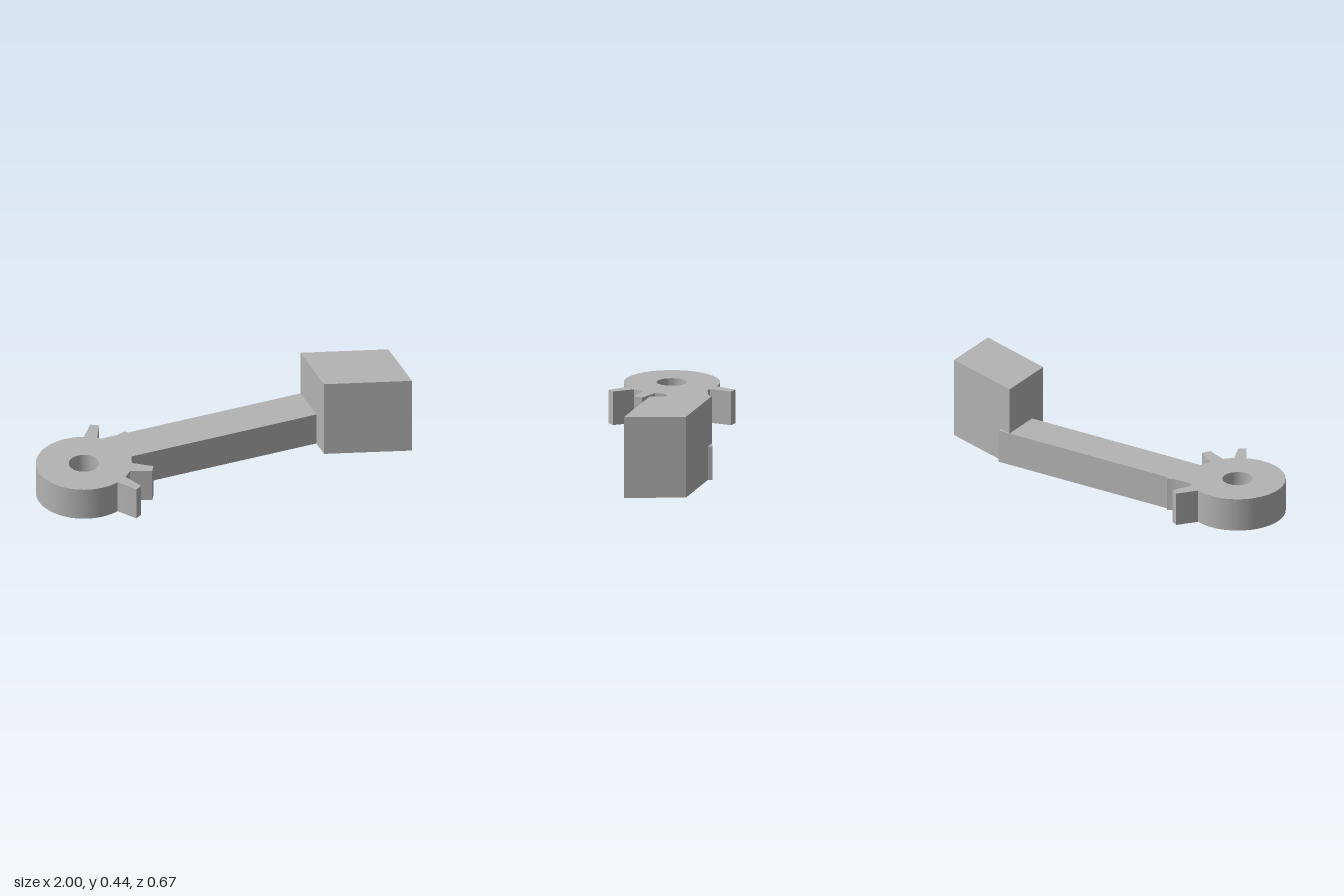
import * as THREE from 'three';
import { toCreasedNormals } from 'three/addons/utils/BufferGeometryUtils.js';

const HUB = { x: -0.747, z: -0.003, r: 0.253, bore: 0.08 };

// Extrude a plan outline (x, -z) upward from the ground
function extrudePlan(shape, height) {
  const geo = new THREE.ExtrudeGeometry(shape, { depth: height, bevelEnabled: false, curveSegments: 48 });
  geo.rotateX(-Math.PI / 2);
  return toCreasedNormals(geo, 0.4);
}

function part(name, shape, height, material) {
  const mesh = new THREE.Mesh(extrudePlan(shape, height), material);
  mesh.name = name;
  return mesh;
}

const plan = (points) => points.map(([x, z]) => new THREE.Vector2(x, -z));

export function createModel() {
  const grey = new THREE.MeshStandardMaterial({ color: 0xb3b3b3 });
  grey.name = 'plain grey';
  const group = new THREE.Group();
  group.name = 'gearLever';

  // Lever: toothed hub and straight arm in one outline, clockwise from the front teeth
  const outline = plan([
    [-0.652, 0.233], [-0.588, 0.333], [-0.551, 0.311], [-0.594, 0.2],
    [-0.551, 0.158], [-0.444, 0.203], [-0.419, 0.161], [-0.513, 0.091],
    [-0.492, 0.032], [0.63, 0.032], [0.63, -0.187],
    [-0.422, -0.187], [-0.433, -0.203], [-0.476, -0.187],
    [-0.572, -0.187], [-0.59, -0.2], [-0.535, -0.308], [-0.575, -0.333], [-0.65, -0.238],
  ]);
  const lever = new THREE.Shape(outline);
  const first = outline[0], last = outline[outline.length - 1];
  const angle = (p) => Math.atan2(p.y + HUB.z, p.x - HUB.x);
  lever.absarc(HUB.x, -HUB.z, HUB.r, angle(last), angle(first) + Math.PI * 2, false);

  // Round bore through the hub
  const bore = new THREE.Path();
  bore.absarc(HUB.x, -HUB.z, HUB.bore, 0, Math.PI * 2, true);
  lever.holes.push(bore);
  group.add(part('toothedLever', lever, 0.182, grey));

  // Slanted block at the arm's end
  const block = new THREE.Shape(plan([[0.56, 0.14], [1, 0.287], [1, -0.04], [0.56, -0.186]]));
  group.add(part('endBlock', block, 0.438, grey));

  return group;
}
